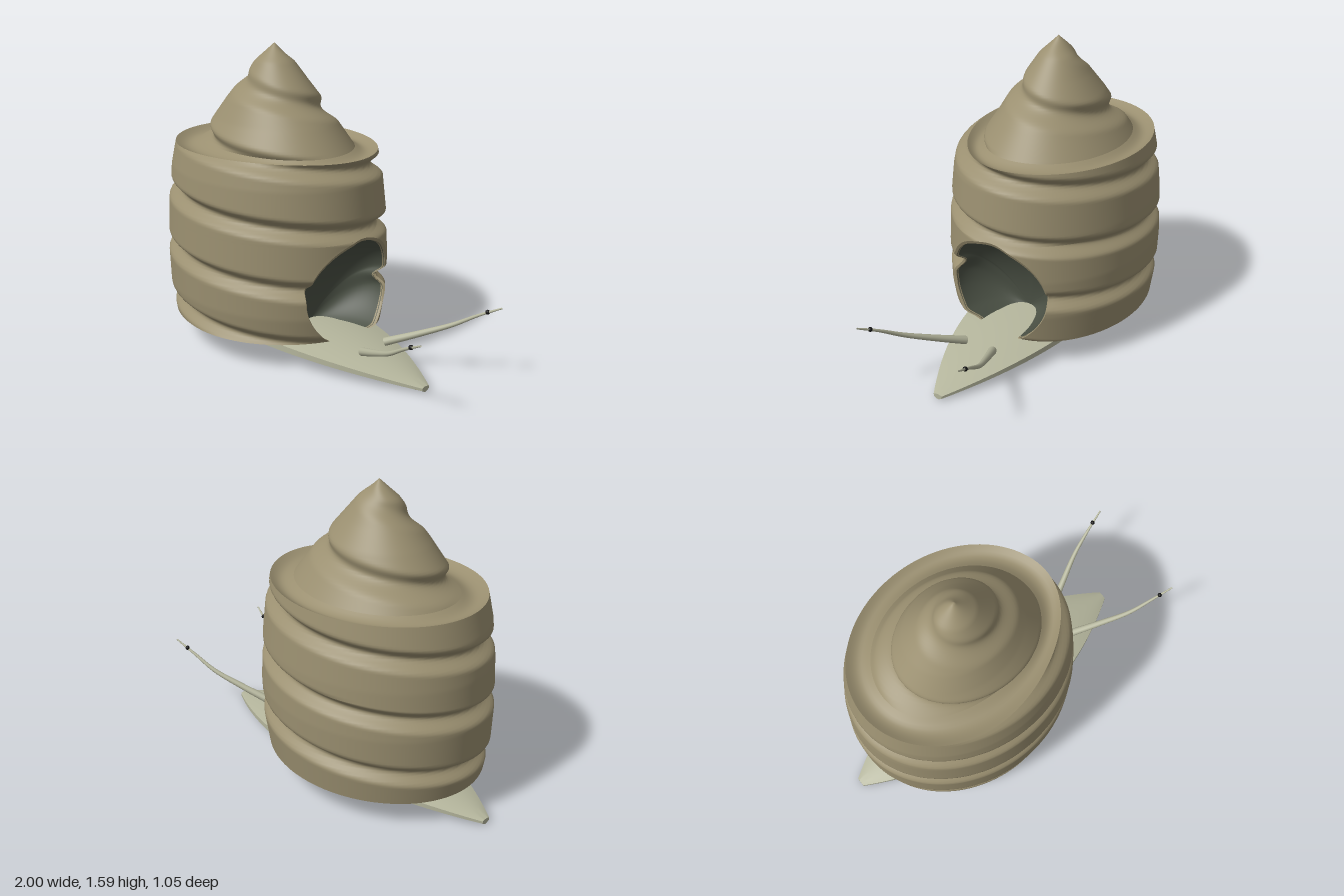
import * as THREE from 'three';
import { mergeVertices, toCreasedNormals } from 'three/addons/utils/BufferGeometryUtils.js';

const material = (color, side = THREE.DoubleSide) => new THREE.MeshStandardMaterial({ color, side });
const V = (x, y, z) => new THREE.Vector3(x, y, z);

// Skin a list of equally long point rows.
function loft(rows, crease = 0) {
  const n = rows[0].length, position = [], index = [];
  rows.forEach(row => row.forEach(p => position.push(p.x, p.y, p.z)));
  for (let i = 0; i < rows.length - 1; i++) {
    for (let j = 0; j < n - 1; j++) {
      const a = i * n + j, b = a + n;
      index.push(a, b, a + 1, a + 1, b, b + 1);
    }
  }
  let geo = new THREE.BufferGeometry();
  geo.setAttribute('position', new THREE.Float32BufferAttribute(position, 3));
  geo.setIndex(index);
  geo = mergeVertices(geo, 1e-5);
  if (crease) return toCreasedNormals(geo, crease);
  geo.computeVertexNormals();
  return geo;
}

function mesh(name, geo, mat) {
  const m = new THREE.Mesh(geo, mat);
  m.name = name;
  return m;
}

// Linear lookup in a list of [key, value] pairs.
function lookup(list, t) {
  let i = 0;
  while (i < list.length - 2 && t > list[i + 1][0]) i++;
  const [t0, v0] = list[i], [t1, v1] = list[i + 1];
  return v0 + (v1 - v0) * THREE.MathUtils.clamp((t - t0) / (t1 - t0), 0, 1);
}

// Depth of the helical groove (0..1) at a height and angle.
const PITCH = 0.3;
function groove(y, phi, start, width) {
  let s = (y - start) / PITCH - phi / (2 * Math.PI);
  s -= Math.floor(s);
  const d = Math.min(s, 1 - s) * PITCH;
  return d < width ? 0.5 * (1 + Math.cos(Math.PI * d / width)) : 0;
}

const CX = -0.26, COLS = 112, TOP = 1.07;
const bodyRadius = [[0.14, 0.605], [0.3, 0.632], [0.5, 0.64], [0.75, 0.628], [0.95, 0.605], [1.07, 0.578]];
const spireX = [[1.07, 0.45], [1.2, 0.355], [1.3, 0.275], [1.4, 0.19], [1.5, 0.105], [1.59, 0]];
const spireZ = [[1.07, 0.37], [1.2, 0.285], [1.3, 0.23], [1.4, 0.16], [1.5, 0.095], [1.59, 0]];

function bodyPoint(y, phi) {
  const r = lookup(bodyRadius, y) - 0.06 * groove(y, phi, 0.72, 0.06);
  return V(CX + r * Math.cos(phi), y, 0.825 * r * Math.sin(phi));
}

function spirePoint(y, phi) {
  const rx = lookup(spireX, y), rz = lookup(spireZ, y);
  const k = 1 - groove(y, phi, 0.695, 0.07) * 0.15;
  return V(CX + rx * k * Math.cos(phi), y, rz * k * Math.sin(phi));
}

// Half angle of the round mouth opening at a height.
const MOUTH_Y = 0.39, MOUTH_R = 0.29;
function mouthAngle(y) {
  const t = (y - MOUTH_Y) / MOUTH_R;
  return t >= 1 ? 0 : Math.asin(MOUTH_R * Math.sqrt(1 - t * t) / 0.515);
}

function ring(point, y, gap = 0) {
  return Array.from({ length: COLS + 1 }, (_, j) =>
    point(y, gap + (2 * Math.PI - 2 * gap) * j / COLS));
}

function buildShell() {
  const shell = new THREE.Group();
  shell.name = 'shell';
  const tan = material(0x9a8f70);

  // Rows bunch up towards the crown of the mouth.
  const heights = [], t0 = Math.asin((0.14 - MOUTH_Y) / MOUTH_R);
  for (let i = 0; i <= 60; i++) heights.push(MOUTH_Y + MOUTH_R * Math.sin(t0 + (Math.PI / 2 - t0) * i / 60));
  const crown = heights.length - 1;
  for (let i = 1; i <= 36; i++) heights.push(heights[crown] + (TOP - heights[crown]) * i / 36);
  shell.add(mesh('bodyWhorls', loft(heights.map(y => ring(bodyPoint, y, mouthAngle(y)))), tan));

  // Shoulder between the rim and the spire, dipping slightly.
  const rim = ring(bodyPoint, TOP), foot = ring(spirePoint, TOP);
  const shoulder = [];
  for (let i = 0; i <= 8; i++) {
    const t = i / 8;
    shoulder.push(rim.map((p, j) => {
      const q = p.clone().lerp(foot[j], t);
      q.y -= 0.025 * Math.sin(Math.PI * t);
      return q;
    }));
  }
  shell.add(mesh('shoulder', loft(shoulder), tan));

  const spire = [];
  for (let i = 0; i <= 50; i++) spire.push(ring(spirePoint, TOP + 0.52 * i / 50));
  shell.add(mesh('spire', loft(spire), tan));

  // Edge of the mouth, from one lower corner over the crown to the other.
  const low = heights.slice(0, crown + 1);
  const edge = low.map(y => bodyPoint(y, -mouthAngle(y)))
    .concat(low.slice(0, -1).reverse().map(y => bodyPoint(y, mouthAngle(y))));
  const toward = (p, k, depth) => V(p.x + (0.0 - p.x) * depth, 0.15 + (p.y - 0.15) * k, p.z * k);

  shell.add(mesh('mouthLip', loft([edge, edge.map(p => toward(p, 0.97, 0.02)),
    edge.map(p => toward(p, 0.965, 0.08))], 0.6), tan));

  // Dark hollow behind the mouth.
  const hollow = [];
  for (let i = 0; i <= 14; i++) {
    const a = Math.PI / 2 * i / 14;
    hollow.push(edge.map(p => toward(p, 0.968 * Math.cos(a), 0.04 + 0.96 * Math.sin(a))));
  }
  shell.add(mesh('mouthHollow', loft(hollow), material(0x4a5044)));
  return shell;
}

// Leaf-shaped foot: domed top, thin edge, keeled underside.
function buildFoot(mat) {
  const rows = [];
  for (let i = 0; i <= 48; i++) {
    const t = -1 + 2 * i / 48, q = 1 - t * t;
    const x = -0.105 + 0.895 * t, w = 0.025 + 0.275 * q;
    const top = 0.03 + 0.125 * q, edgeTop = 0.025 + 0.09 * q;
    const edgeLow = 0.012 + 0.07 * q, keel = 0.03 * q;
    const row = [];
    for (let j = 0; j <= 10; j++) {
      const s = 1 - j / 5;
      row.push(V(x, top - (top - edgeTop) * s * s, s * w));
    }
    for (let j = 0; j <= 10; j++) {
      const s = -1 + j / 5;
      row.push(V(x, keel + (edgeLow - keel) * Math.pow(Math.abs(s), 1.4), s * w));
    }
    row.push(row[0].clone());
    rows.push(row);
  }
  // Close both tips.
  const cap = row => row.map(p => V(p.x, 0.015, 0));
  rows.unshift(cap(rows[0]));
  rows.push(cap(rows[rows.length - 1]));
  return mesh('foot', loft(rows, 0.6), mat);
}

// Tapering, slightly bent feeler with a small eye near its tip.
function buildFeeler(side, mat) {
  const feeler = new THREE.Group();
  feeler.name = side > 0 ? 'leftFeeler' : 'rightFeeler';
  const path = new THREE.CatmullRomCurve3([
    V(0.45, 0.13, side * 0.085), V(0.61, 0.2, side * 0.165),
    V(0.76, 0.272, side * 0.237), V(0.88, 0.345, side * 0.275), V(0.998, 0.408, side * 0.307)]);
  const N = 24, S = 12;
  const geo = new THREE.TubeGeometry(path, N, 1, S);
  const pos = geo.attributes.position, p = new THREE.Vector3();
  for (let i = 0; i < pos.count; i++) {
    const t = Math.floor(i / (S + 1)) / N, c = path.getPointAt(t);
    p.fromBufferAttribute(pos, i).sub(c).multiplyScalar(0.022 - 0.018 * t).add(c);
    pos.setXYZ(i, p.x, p.y, p.z);
  }
  feeler.add(mesh('stalk', geo, mat));
  const eye = mesh('eye', new THREE.SphereGeometry(0.012, 14, 10), material(0x111111, THREE.FrontSide));
  eye.position.set(0.928, 0.373, side * 0.289);
  feeler.add(eye);
  return feeler;
}

export function createModel() {
  const model = new THREE.Group();
  model.name = 'snail';
  const skin = material(0xb4b59c);
  model.add(buildShell(), buildFoot(skin), buildFeeler(1, skin), buildFeeler(-1, skin));
  return model;
}
